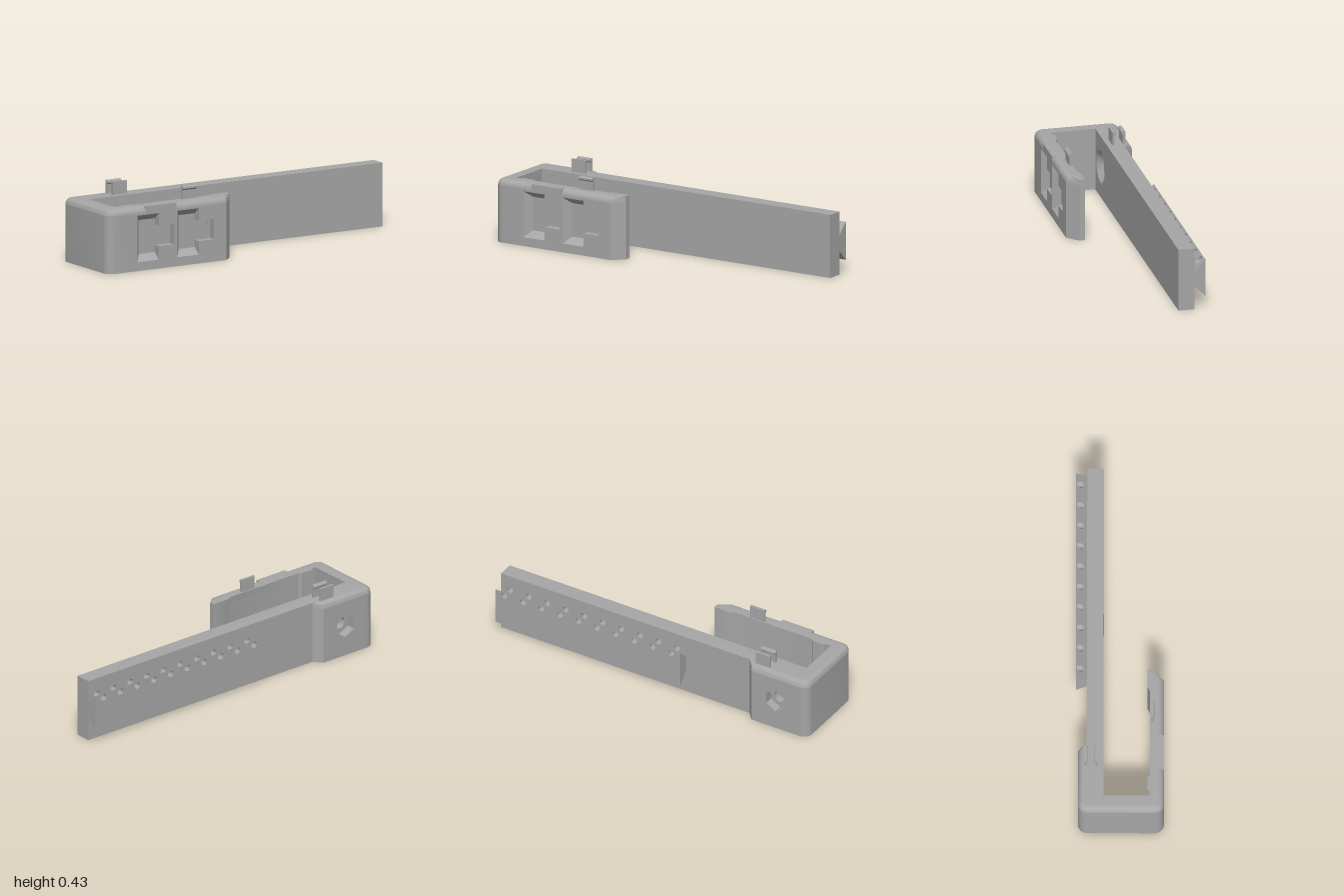
import * as THREE from 'three';
import { toCreasedNormals } from 'three/addons/utils/BufferGeometryUtils.js';

const H = 0.357;        // overall body height
const FILLET = 0.035;   // rounded top edge of the bracket
const R = 0.05;         // vertical corner radius
const FRONT = 0.243, BACK = -0.23;

const toShape = (pts) => new THREE.Shape(pts.map(([x, y]) => new THREE.Vector2(x, y)));
const rect = (x0, x1, y0, y1) => [[x0, y0], [x1, y0], [x1, y1], [x0, y1]];
const ring = (cx, cy, r, n, turn = 0) => Array.from({ length: n }, (_, i) => {
  const a = turn + (i / n) * Math.PI * 2;
  return [cx + r * Math.cos(a), cy + r * Math.sin(a)];
});
// quarter corner in plan (x, z)
const corner = (cx, cz, a0, a1) => Array.from({ length: 7 }, (_, i) => {
  const a = a0 + ((a1 - a0) * i) / 6;
  return [cx + R * Math.cos(a), cz + R * Math.sin(a)];
});

export function createModel() {
  const model = new THREE.Group();
  model.name = 'clampBracket';
  const grey = new THREE.MeshStandardMaterial({ color: 0xa6a6a6 });
  grey.name = 'grey';

  const add = (name, geometry) => {
    const mesh = new THREE.Mesh(toCreasedNormals(geometry, 0.6), grey);
    mesh.name = name;
    model.add(mesh);
    return mesh;
  };

  // plan outline (x, z) raised from y0 to y1
  const planGeometry = (pts, y0, y1, steps = 1) => {
    const g = new THREE.ExtrudeGeometry(toShape(pts.map(([x, z]) => [x, -z])),
      { depth: y1 - y0, bevelEnabled: false, steps });
    return g.rotateX(-Math.PI / 2).translate(0, y0, 0);
  };

  // upright panel (x, y) from z0 to z1; holes may change outline towards endZ
  const panelGeometry = (outline, holes, z0, z1, endHoles = null, endZ = z0) => {
    const shape = toShape(outline);
    holes.forEach((h) => shape.holes.push(new THREE.Path(h.map(([x, y]) => new THREE.Vector2(x, y)))));
    const g = new THREE.ExtrudeGeometry(shape, { depth: z1 - z0, bevelEnabled: false });
    g.translate(0, 0, z0);
    if (endHoles) {
      const from = holes.flat(), to = endHoles.flat(), p = g.attributes.position;
      for (let i = 0; i < p.count; i++) {
        if (Math.abs(p.getZ(i) - endZ) > 1e-4) continue;
        const k = from.findIndex(([x, y]) => Math.hypot(x - p.getX(i), y - p.getY(i)) < 1e-4);
        if (k >= 0) p.setXY(i, to[k][0], to[k][1]);
      }
    }
    return g;
  };

  const frontCorner = corner(-1 + R, FRONT - R, Math.PI / 2, Math.PI);
  const backCorner = corner(-1 + R, BACK + R, Math.PI, Math.PI * 1.5);
  const Y1 = H - FILLET;

  // lower body pieces
  add('endWall', planGeometry([[-0.86, FRONT], ...frontCorner, ...backCorner,
    [-0.91, BACK], [-0.91, 0.165], [-0.88, 0.165], [-0.88, 0.152], [-0.86, 0.152]], 0, Y1));
  const jawInside = [[-0.8, 0.152], [-0.79, 0.165], [-0.3, 0.165], [-0.27, 0.15],
    [-0.17, 0.15], [-0.17, 0.182], [-0.23, FRONT]];
  add('frontJaw', planGeometry([[-0.86, 0.2], [-0.86, 0.152], ...jawInside,
    [-0.29, FRONT], [-0.29, 0.2]], 0, Y1));
  add('backArm', planGeometry([[-0.68, -0.09], [1, -0.09], [1, -0.14], [-0.19, -0.14],
    [-0.19, -0.182], [-0.6, -0.182], [-0.64, BACK], [-0.68, BACK]], 0, Y1));

  // top layer with the outer edge rounded over
  const cap = planGeometry([[-0.91, -0.09], [-0.91, 0.165], [-0.88, 0.165], [-0.88, 0.152],
    ...jawInside, ...frontCorner, ...backCorner,
    [-0.64, BACK], [-0.6, -0.182], [1, -0.182], [1, -0.09]], Y1, H, 6);
  const p = cap.attributes.position;
  for (let i = 0; i < p.count; i++) {
    const a = ((p.getY(i) - Y1) / FILLET) * Math.PI / 2;
    const d = FILLET * (1 - Math.cos(a));
    let x = p.getX(i), z = p.getZ(i);
    const cx = -1 + R, cz = z > 0 ? FRONT - R : BACK + R;
    if (x < cx && (z > 0 ? z > cz : z < cz)) {
      x = cx + (x - cx) * (1 - d / R);
      z = cz + (z - cz) * (1 - d / R);
    } else {
      x = Math.max(x, -1 + d);
      z = Math.min(Math.max(z, BACK + d), FRONT - d);
    }
    p.setXYZ(i, x, Y1 + FILLET * Math.sin(a), z);
  }
  add('roundedTop', cap);

  // square section of the front top edge
  add('squareEdge', new THREE.BoxGeometry(0.2, FILLET, 0.043)).position.set(-0.655, H - FILLET / 2, FRONT - 0.0215);

  // front face with two bevelled T-shaped pockets
  const pocket = (x, b) => [[x + b, 0.05 + b], [x + 0.14, 0.05 + b], [x + 0.14, 0.125], [x + 0.24, 0.125],
    [x + 0.24, 0.24], [x + 0.14, 0.24], [x + 0.14, 0.31 - b], [x + b, 0.31 - b]];
  const pocketX = [-0.81, -0.55];
  add('pocketedFace', panelGeometry(rect(-0.86, -0.29, 0, Y1), pocketX.map((x) => pocket(x, 0)),
    0.2, FRONT, pocketX.map((x) => pocket(x, 0.035)), 0.2));
  add('pocketNub', new THREE.BoxGeometry(0.02, 0.025, 0.02)).position.set(-0.33, 0.225, 0.21);

  // bolt seat: hex pocket behind, round hole, countersink inside
  const seat = rect(-0.91, -0.68, 0, Y1);
  const bore = ring(-0.795, 0.178, 0.035, 24);
  add('hexPocket', panelGeometry(seat, [ring(-0.795, 0.178, 0.068, 6, Math.PI / 6)], BACK, -0.18));
  add('boltHole', panelGeometry(seat, [bore], -0.18, -0.14));
  add('countersink', panelGeometry(seat, [bore], -0.14, -0.09, [ring(-0.795, 0.178, 0.095, 24)], -0.09));

  // row of index holes drilled through the rail lip into the arm
  const indexHoles = Array.from({ length: 10 }, (_, i) => ring(-0.133 + i * 0.1193, 0.263, 0.019, 16));
  add('drilledArm', panelGeometry(rect(-0.19, 1, 0, Y1), indexHoles, -0.182, -0.14));

  // dovetail rail: drilled upper lip with a sloped front, then the plain remainder
  const lip = panelGeometry(rect(-0.19, 1, 0.226, 0.287), indexHoles, -0.243, -0.182);
  const lp = lip.attributes.position;
  for (let i = 0; i < lp.count; i++) {
    if (lp.getZ(i) > -0.19) lp.setZ(i, -0.243 + 0.287 - lp.getY(i));
  }
  add('railLip', lip);
  const alongX = (pts, x0, x1) => {   // profile (z, y) extruded along x
    const g = new THREE.ExtrudeGeometry(toShape(pts.map(([z, y]) => [-z, y])),
      { depth: x1 - x0, bevelEnabled: false });
    return g.rotateY(Math.PI / 2).translate(x0, 0, 0);
  };
  add('dovetailRail', alongX([[-0.243, 0.226], [-0.182, 0.226], [-0.182, 0.133], [-0.243, 0.072]], -0.19, 1));

  // snap clips: thin stem with a bulb on one side
  const clip = (name, x, z, s) => add(name, alongX([[0, H - 0.01], [0, 0.43], [0.014, 0.43], [0.021, 0.424],
    [0.021, 0.415], [0.013, 0.407], [0.013, H - 0.01]].map(([dz, y]) => [z + s * dz, y]), x, x + 0.092));
  clip('frontClip', -0.48, 0.171, 1);
  clip('backClipInner', -0.738, -0.121, -1);
  clip('backClipOuter', -0.738, -0.195, 1);

  return model;
}
